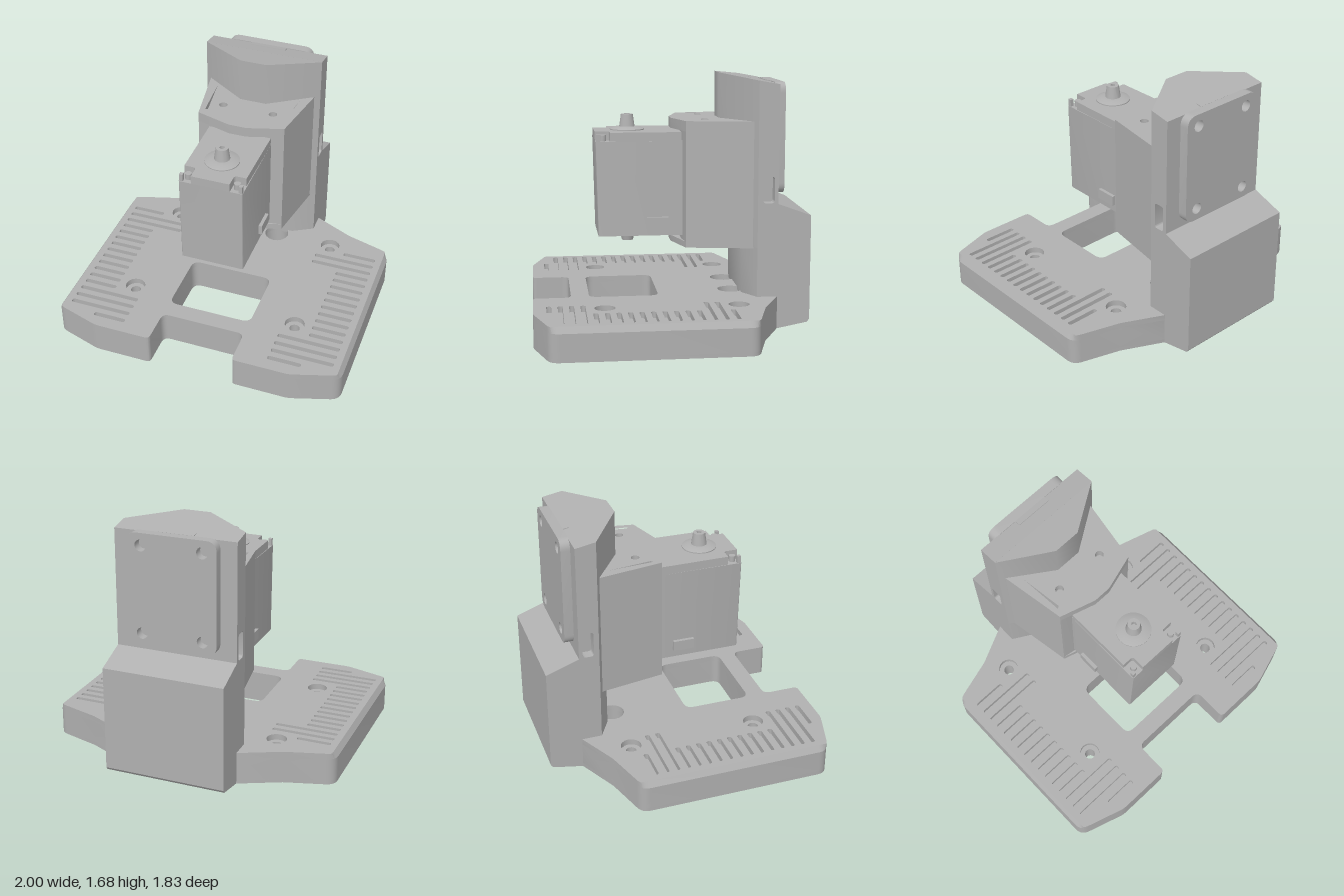
import * as THREE from 'three';
import { toCreasedNormals } from 'three/addons/utils/BufferGeometryUtils.js';

const grey = new THREE.MeshStandardMaterial({ color: 0xb0b0b0 });
grey.name = 'plain grey';

// Closed outline from [x, y, cornerRadius] points
function outline(points, Type = THREE.Shape) {
  const s = new Type();
  const n = points.length;
  points.forEach(([x, y, r = 0], i) => {
    const p = new THREE.Vector2(x, y);
    const a = new THREE.Vector2(...points[(i + n - 1) % n].slice(0, 2)).sub(p).setLength(r).add(p);
    const b = new THREE.Vector2(...points[(i + 1) % n].slice(0, 2)).sub(p).setLength(r).add(p);
    if (i === 0) s.moveTo(a.x, a.y); else s.lineTo(a.x, a.y);
    if (r > 0) s.quadraticCurveTo(x, y, b.x, b.y);
  });
  s.closePath();
  return s;
}

const rect = (x0, y0, x1, y1, r = 0) => outline([[x0, y0, r], [x1, y0, r], [x1, y1, r], [x0, y1, r]], THREE.Path);
const circle = (x, y, r) => new THREE.Path().absarc(x, y, r, 0, Math.PI * 2, false);
// Plan points are [x, z, r]; z is flipped into shape space
const plan = (pts, Type) => outline(pts.map(([x, z, r]) => [x, -z, r]), Type);
// Complete a right half, listed back to front, with its mirror image
const mirrored = half => [...half, ...half.slice().reverse().map(([x, z, r]) => [-x, z, r])];

function extrude(shape, depth, holes = []) {
  shape.holes.push(...holes);
  return new THREE.ExtrudeGeometry(shape, { depth, bevelEnabled: false, curveSegments: 8 });
}

function slab(pts, y0, y1, holes = []) {
  return extrude(plan(pts), y1 - y0, holes).rotateX(-Math.PI / 2).translate(0, y0, 0);
}

// Move vertices by a rule
function shift(geo, rule) {
  const p = geo.attributes.position;
  const v = new THREE.Vector3();
  for (let i = 0; i < p.count; i++) {
    rule(v.fromBufferAttribute(p, i));
    p.setXYZ(i, v.x, v.y, v.z);
  }
  return geo;
}

export function createModel() {
  const model = new THREE.Group();
  const add = (name, geo, parent = model) => {
    const mesh = new THREE.Mesh(toCreasedNormals(geo, 0.6), grey);
    mesh.name = name;
    parent.add(mesh);
    return mesh;
  };
  const box = (x0, x1, y0, y1, z0, z1) => new THREE.BoxGeometry(x1 - x0, y1 - y0, z1 - z0)
    .translate((x0 + x1) / 2, (y0 + y1) / 2, (z0 + z1) / 2);
  const group = name => {
    const g = new THREE.Group();
    g.name = name;
    model.add(g);
    return g;
  };

  // Base plate: grooved underside, solid middle, slotted top
  const base = group('base');
  const baseOutline = mirrored([
    [0.4, -0.7], [0.68, -0.565], [1, -0.47, 0.06], [1, 0.81, 0.06],
    [0.68, 0.91, 0.03], [0.29, 0.91, 0.03], [0.29, 0.66, 0.05],
  ]);
  const openings = screwRadius => {
    const holes = [rect(-0.29, -0.54, 0.29, -0.08, 0.06)];
    for (const s of [-1, 1]) {
      holes.push(circle(s * 0.17, 0.42, 0.085));
      for (const z of [-0.41, 0.455]) holes.push(circle(s * 0.58, -z, screwRadius));
    }
    return holes;
  };
  const grooves = [];
  for (const s of [-1, 1])
    for (const x of [0.42, 0.475, 0.82, 0.89])
      grooves.push(rect(s * x - 0.012, -0.74, s * x + 0.012, 0.44));
  for (let i = -7; i <= 7; i++) grooves.push(rect(i * 0.05 - 0.012, 0.53, i * 0.05 + 0.012, 0.68));
  const vents = [];
  for (let i = 0; i < 17; i++) {
    const z = -0.35 + i * 0.0725;
    const inner = [1, 2, 13, 14, 15, 16].includes(i) ? 0.505 : 0.7;
    const outer = i === 16 ? 0.73 : 0.93;
    for (const s of [-1, 1]) {
      const [a, b] = s > 0 ? [inner, outer] : [-outer, -inner];
      vents.push(rect(a, -z - 0.016, b, -z + 0.016, 0.015));
    }
  }
  add('baseUnderside', slab(baseOutline, 0, 0.025, [...openings(0.035), ...grooves]), base);
  add('baseBody', slab(baseOutline, 0.025, 0.18, openings(0.035)), base);
  add('baseTop', shift(slab(baseOutline, 0.18, 0.22, [...openings(0.068), ...vents]), v => {
    if (v.y > 0.2) v.x = THREE.MathUtils.clamp(v.x, -0.975, 0.975);
  }), base);

  // Rear column, drawn from the side with a recessed slot in each flank
  const column = group('column');
  const side = outline([
    [0.56, 0.03], [0.69, 0.03], [0.69, 0], [0.9, 0.04], [0.915, 0.06], [0.915, 0.76],
    [0.695, 0.84], [0.695, 1.62], [0.56, 1.645],
  ]);
  add('columnBody', extrude(side, 0.82, [rect(0.595, 0.845, 0.67, 1.02, 0.02)])
    .rotateY(Math.PI / 2).translate(-0.41, 0, 0), column);
  add('columnSlotCore', box(-0.34, 0.34, 0.84, 1.03, -0.68, -0.58), column);
  add('columnLowerFront', slab(mirrored([[0.41, -0.56], [0.27, -0.48]]), 0.2, 0.56), column);
  add('columnUpperFront', shift(slab(mirrored([[0.41, -0.56], [0.09, -0.346]]), 0.55, 1.7), v => {
    if (v.y > 1) v.y = 1.68 + (v.z + 0.346) * 0.165;
  }), column);
  add('columnTopTab', box(-0.125, 0.125, -0.003, 0.003, -0.02, 0.02)
    .rotateX(-0.164).translate(0, 1.626, -0.672), column);

  // Mounting plate on the back
  const plateShape = outline([[-0.3, 0.89, 0.07], [0.3, 0.89, 0.07], [0.3, 1.625, 0.07], [-0.3, 1.625, 0.07]]);
  const plateHoles = [];
  for (const x of [-0.205, 0.205]) for (const y of [0.97, 1.545]) plateHoles.push(circle(x, y, 0.038));
  add('backPlate', extrude(plateShape, 0.065, plateHoles).translate(0, 0, -0.757));

  // Bracket holding the motor, with lips above and below it
  const bracket = group('bracket');
  const bracketOutline = mirrored([[0.378, -0.56], [0.3, -0.1], [0.2, -0.085]]);
  const lipOutline = mirrored([[0.378, -0.56], [0.3, -0.1], [0.06, -0.028]]);
  const bracketHoles = [];
  for (const s of [-1, 1]) {
    bracketHoles.push(circle(s * 0.175, 0.24, 0.028));
    bracketHoles.push(plan([[s * 0.295, -0.45], [s * 0.272, -0.15], [s * 0.255, -0.16]], THREE.Path));
  }
  add('bracketBottomLip', slab(lipOutline, 0.54, 0.58), bracket);
  add('bracketBody', slab(bracketOutline, 0.58, 1.31), bracket);
  add('bracketTop', slab(lipOutline, 1.31, 1.378, bracketHoles), bracket);

  // Motor housing, tapering slightly towards the bottom front
  const motor = group('motor');
  const taper = v => { if (v.y < 0.7 && v.z > 0.3) v.z -= 0.015; };
  add('motorHousing', shift(slab(mirrored([[0.215, -0.1], [0.215, 0.485, 0.01]]), 0.61, 1.24), taper), motor);
  add('motorCap', slab(mirrored([
    [0.215, -0.08], [0.21, 0.39], [0.13, 0.39, 0.02], [0.13, 0.485],
  ]), 1.24, 1.298), motor);
  for (const s of [-1, 1]) {
    add('capScrew', new THREE.CylinderGeometry(0.022, 0.022, 0.04, 16).translate(s * 0.165, 1.26, 0.435), motor);
    add('capCornerPost', box(s * 0.2 - 0.012, s * 0.2 + 0.012, 1.24, 1.29, 0.455, 0.48), motor);
    add('sideTab', box(s * 0.225 - 0.013, s * 0.225 + 0.013, 0.665, 0.735, 0.005, 0.15), motor);
  }
  const lathe = (name, pts, segments) => add(name,
    new THREE.LatheGeometry(pts.map(p => new THREE.Vector2(...p)), segments).translate(0, 0, 0.262), motor);
  lathe('topShaft', [
    [0.115, 1.295], [0.115, 1.305], [0.08, 1.318], [0.052, 1.32], [0.04, 1.402],
    [0.016, 1.402], [0.016, 1.36], [0, 1.36],
  ], 32);
  lathe('bottomShaft', [[0, 0.545], [0.038, 0.545], [0.048, 0.588], [0.06, 0.59], [0.18, 0.612]], 32);

  return model;
}
